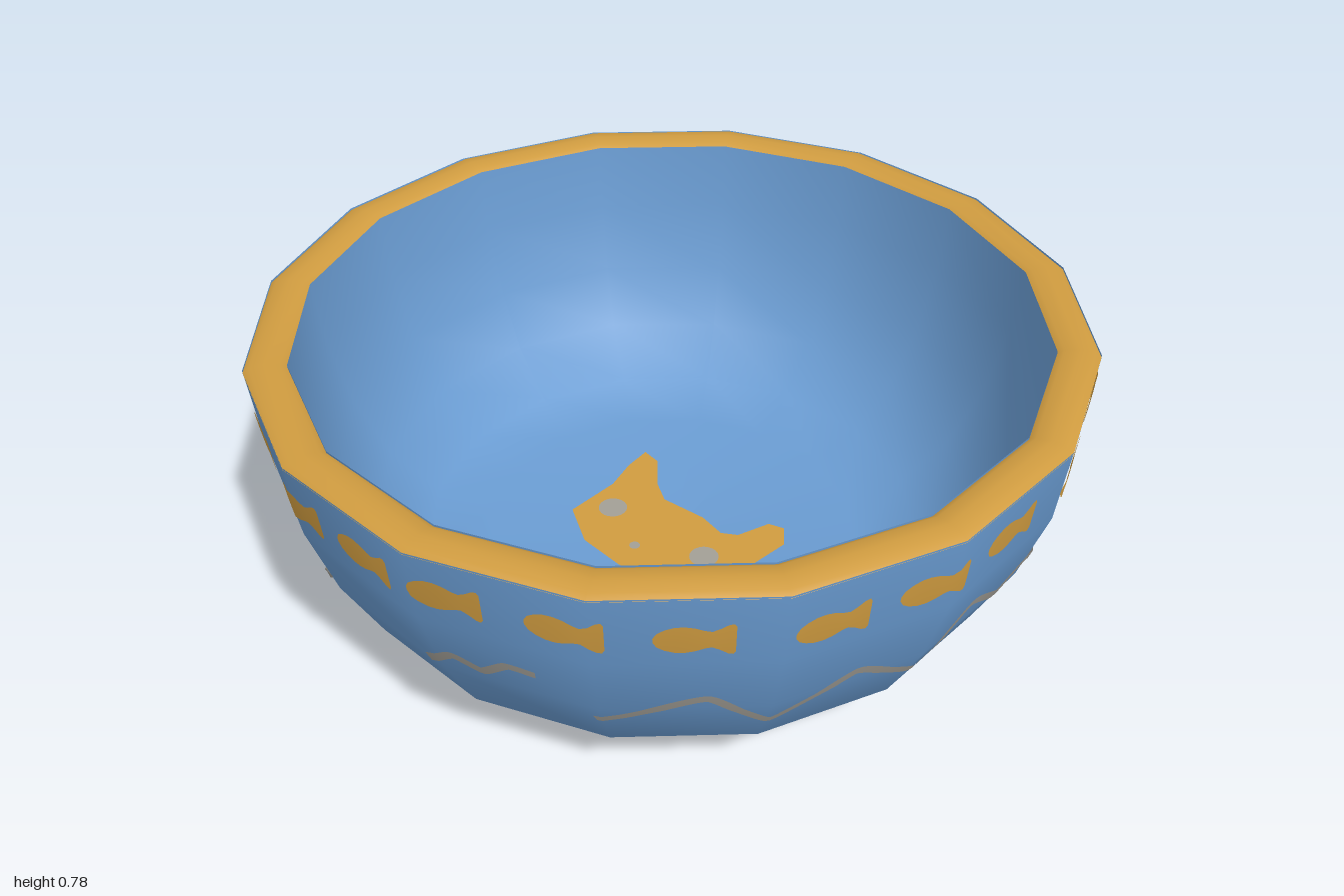
import * as THREE from 'three';

const SIDES = 16;
const STEP = (Math.PI * 2) / SIDES;
const DEG = Math.PI / 180;

// [radius, height] profiles of the bowl
const OUTER = [[0, 0], [0.56, 0.035], [0.71, 0.085], [0.83, 0.21], [0.92, 0.39], [0.98, 0.58], [1, 0.77]];
const RIM = [[1, 0.765], [0.985, 0.775], [0.95, 0.781], [0.915, 0.775], [0.9, 0.765]];
const INNER = [[0.9, 0.77], [0.88, 0.6], [0.83, 0.42], [0.75, 0.27], [0.63, 0.16], [0.48, 0.115], [0, 0.09]];

function lathe(name, profile, material) {
  const points = profile.map(([r, y]) => new THREE.Vector2(r, y));
  const mesh = new THREE.Mesh(new THREE.LatheGeometry(points, SIDES), material);
  mesh.name = name;
  return mesh;
}

// Radius of the outer wall at a height
function wallRadius(y) {
  let i = 1;
  while (i < OUTER.length - 1 && OUTER[i][1] < y) i++;
  const [r0, y0] = OUTER[i - 1];
  const [r1, y1] = OUTER[i];
  return r0 + ((r1 - r0) * (y - y0)) / (y1 - y0);
}

// Point just outside the faceted wall, for an angle from the front and a height
function wallPoint(a, y, lift = 0.005) {
  const local = a - (Math.floor(a / STEP) + 0.5) * STEP;
  const r = (wallRadius(y) * Math.cos(STEP / 2)) / Math.cos(local) + lift;
  return [Math.sin(a) * r, y, Math.cos(a) * r];
}

function wallNormal(a, y) {
  const slope = (wallRadius(y + 0.09) - wallRadius(y - 0.09)) / 0.18;
  const len = Math.hypot(1, slope);
  return [Math.sin(a) / len, -slope / len, Math.cos(a) / len];
}

// Painted ribbon on the wall; each row is [lower angle, lower y, upper angle, upper y]
function wallStrip(name, rows, material) {
  const position = [], normal = [], index = [];
  rows.forEach(([a0, y0, a1, y1], i) => {
    position.push(...wallPoint(a0, y0), ...wallPoint(a1, y1));
    normal.push(...wallNormal(a0, y0), ...wallNormal(a1, y1));
    const k = i * 2;
    if (i) index.push(k - 2, k, k - 1, k, k + 1, k - 1);
  });
  const geometry = new THREE.BufferGeometry();
  geometry.setAttribute('position', new THREE.Float32BufferAttribute(position, 3));
  geometry.setAttribute('normal', new THREE.Float32BufferAttribute(normal, 3));
  geometry.setIndex(index);
  const mesh = new THREE.Mesh(geometry, material);
  mesh.name = name;
  return mesh;
}

// Fish outline: [distance along, half height], head first
const FISH = [[-0.083, 0.006], [-0.075, 0.02], [-0.06, 0.03], [-0.04, 0.037], [-0.02, 0.038], [0, 0.034],
  [0.02, 0.026], [0.034, 0.023], [0.05, 0.031], [0.066, 0.042], [0.076, 0.044], [0.081, 0.036]];

// Fish places around the wall: [degrees, height]
const FISH_PLACES = [[10.6, 0.675], [26.5, 0.67], [42, 0.685], [59, 0.692], [74.6, 0.685], [88, 0.68], [102, 0.69],
  [117, 0.665], [131, 0.665], [149, 0.682], [165, 0.68], [179, 0.675], [193, 0.675], [207, 0.675], [221.5, 0.672],
  [238.5, 0.67], [255, 0.672], [271, 0.67], [284, 0.665], [297, 0.67], [312, 0.665], [327, 0.655], [343.4, 0.65], [357, 0.66]];

// Broken zigzag line: each run lists [degrees, height]
const WAVES = [
  [[-70, 0.4], [-65, 0.46], [-61, 0.43], [-57, 0.48], [-53, 0.475]],
  [[-46, 0.34], [-42, 0.36], [-31, 0.435], [-22, 0.315], [-10.6, 0.43], [0, 0.335], [8, 0.475], [16.5, 0.4], [21.7, 0.465], [29, 0.4]],
  [[33, 0.385], [48.5, 0.5], [53, 0.37], [61.7, 0.45], [67, 0.36], [78, 0.5], [90, 0.35], [100, 0.5], [109.5, 0.37],
    [120, 0.52], [128, 0.41], [138, 0.49], [142, 0.34], [147, 0.35], [159, 0.48], [165, 0.38], [176, 0.46], [185, 0.4]],
  [[188, 0.34], [194, 0.37]],
  [[203, 0.34], [209, 0.42], [215, 0.36], [220, 0.42], [226, 0.37], [234, 0.42], [241, 0.44], [247, 0.4]],
  [[251, 0.38], [258, 0.44]],
  [[262, 0.46], [266, 0.4], [271, 0.46]],
];

function wave(places, material) {
  const scale = 0.93 * DEG;
  const curve = new THREE.CatmullRomCurve3(places.map(([d, y]) => new THREE.Vector3(d * scale, y, 0)), false, 'catmullrom', 0.25);
  const rows = [];
  const count = places.length * 12;
  for (let i = 0; i <= count; i++) {
    const p = curve.getPoint(i / count);
    const t = curve.getTangent(i / count);
    const w = 0.012;
    rows.push([(p.x + t.y * w) / 0.93, p.y - t.x * w, (p.x - t.y * w) / 0.93, p.y + t.x * w]);
  }
  return wallStrip('zigzagLine', rows, material);
}

// Large fish painted on the floor, outline as [x, z]
const FLOOR_FISH = [[0.13, -0.31], [0.06, -0.29], [-0.02, -0.25], [-0.17, -0.22], [-0.21, -0.1], [-0.19, 0.03], [-0.13, 0.17],
  [-0.06, 0.235], [0.01, 0.25], [0.1, 0.23], [0.2, 0.22], [0.24, 0.17], [0.22, 0.13], [0.13, 0.115], [0.1, 0.08],
  [0.1, 0], [0.06, -0.12], [0.08, -0.18], [0.135, -0.26]];

export function createModel() {
  const blue = new THREE.MeshStandardMaterial({ color: 0x6a9cd2, side: THREE.DoubleSide });
  blue.name = 'blue glaze';
  const gold = new THREE.MeshStandardMaterial({ color: 0xd09c40, side: THREE.DoubleSide });
  gold.name = 'gold paint';
  const grey = new THREE.MeshStandardMaterial({ color: 0xa39f96, side: THREE.DoubleSide });
  grey.name = 'warm grey paint';

  const model = new THREE.Group();
  model.name = 'bowl';

  // Bowl body
  model.add(lathe('outerWall', OUTER, blue), lathe('rim', RIM, gold), lathe('innerWall', INNER, blue));

  // Ring of small fish
  const ring = new THREE.Group();
  ring.name = 'fishRing';
  for (const [deg, y] of FISH_PLACES) {
    const rows = FISH.map(([u, h]) => {
      const a = deg * DEG + u / 0.98;
      return [a, y - h, a, y + h];
    });
    ring.add(wallStrip('smallFish', rows, gold));
  }
  model.add(ring);

  // Zigzag line below the fish
  const waves = new THREE.Group();
  waves.name = 'zigzag';
  for (const places of WAVES) waves.add(wave(places, grey));
  model.add(waves);

  // Floor fish, draped on the shallow floor, with its spots
  const shape = new THREE.Shape(FLOOR_FISH.map(([x, z]) => new THREE.Vector2(x, -z)));
  const floor = new THREE.ShapeGeometry(shape).rotateX(-Math.PI / 2);
  const p = floor.attributes.position;
  for (let i = 0; i < p.count; i++) p.setY(i, 0.095 + 0.052 * Math.hypot(p.getX(i), p.getZ(i)));
  const floorFish = new THREE.Mesh(floor, gold);
  floorFish.name = 'floorFish';
  model.add(floorFish);
  for (const [x, z, r] of [[-0.08, -0.16, 0.038], [0, 0.14, 0.038], [-0.12, 0, 0.014]]) {
    const spot = new THREE.Mesh(new THREE.CircleGeometry(r, 20).rotateX(-Math.PI / 2), grey);
    spot.name = 'floorSpot';
    spot.position.set(x, 0.114, z);
    model.add(spot);
  }
  return model;
}
